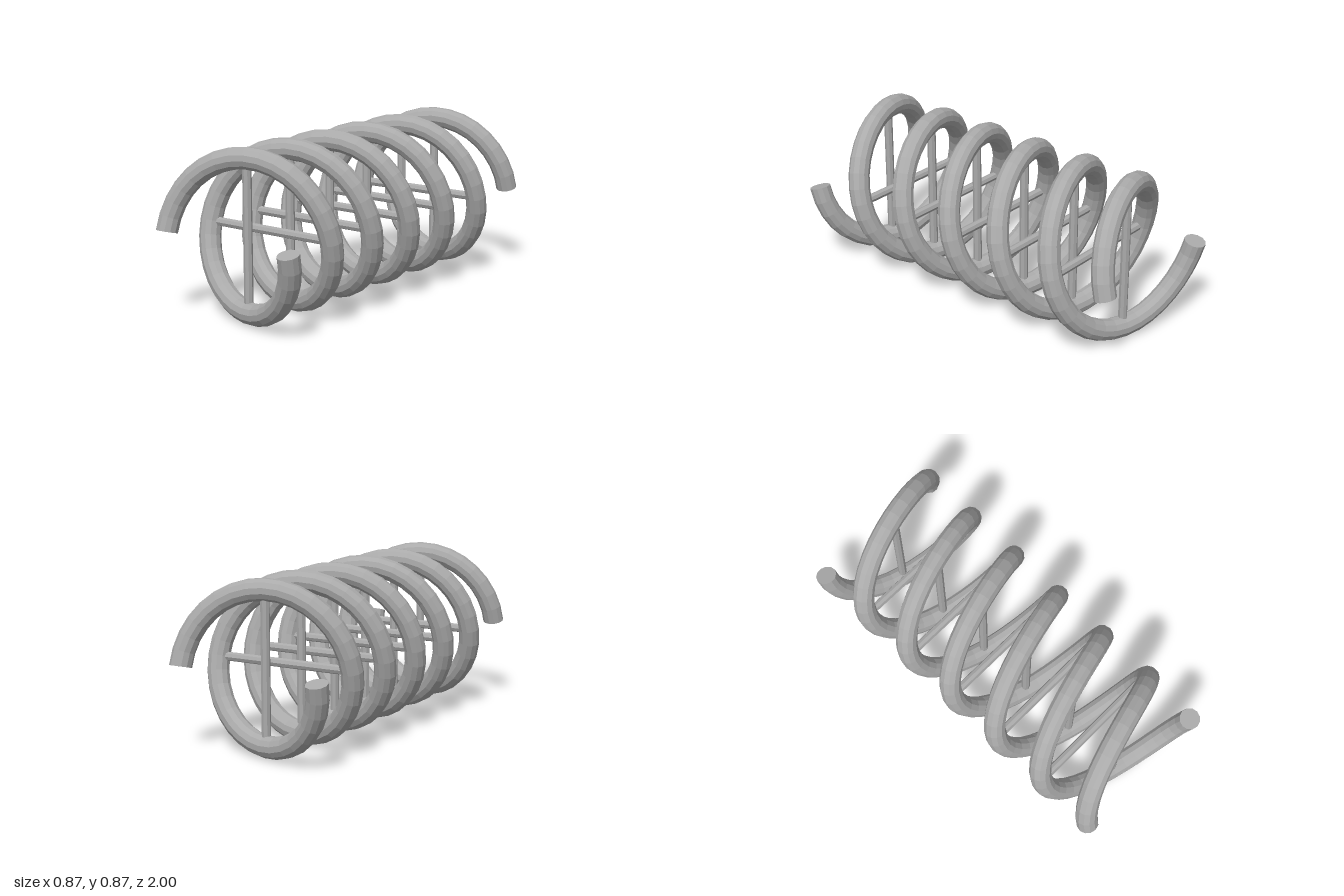
import * as THREE from 'three';

const R = 0.378, TUBE = 0.055, HALF = 0.947, TURNS = 3, AXIS_Y = 0.436, SIDES = 12, SEGMENTS = 96;

// Helix running from the front (+z) to the back; side -1 gives the opposite strand
class Helix extends THREE.Curve {
  constructor(side) {
    super();
    this.side = side;
  }
  getPoint(t, target = new THREE.Vector3()) {
    const a = t * TURNS * Math.PI * 2;
    return target.set(-this.side * R * Math.cos(a), this.side * R * Math.sin(a), HALF * (1 - 2 * t));
  }
}

export function createModel() {
  const model = new THREE.Group();
  model.name = 'doubleHelix';
  const grey = new THREE.MeshStandardMaterial({ color: 0xaaaaaa, flatShading: true });
  grey.name = 'grey';

  const add = (parent, geometry, name) => {
    const mesh = new THREE.Mesh(geometry, grey);
    mesh.name = name;
    parent.add(mesh);
    return mesh;
  };

  // Two coiled strands with flat end caps
  for (const side of [1, -1]) {
    const strand = new THREE.Group();
    strand.name = side > 0 ? 'firstStrand' : 'secondStrand';
    const curve = new Helix(side);
    const tube = new THREE.TubeGeometry(curve, SEGMENTS, TUBE, SIDES, false);
    add(strand, tube, 'strandTube');
    for (const end of [0, 1]) {
      const i = end * SEGMENTS, dir = end ? 1 : -1;
      const cap = new THREE.CircleGeometry(TUBE, SIDES);
      cap.applyMatrix4(new THREE.Matrix4().makeBasis(
        tube.normals[i].clone(),
        tube.binormals[i].clone().multiplyScalar(dir),
        tube.tangents[i].clone().multiplyScalar(dir)
      ).setPosition(curve.getPointAt(end)));
      add(strand, cap, end ? 'backCap' : 'frontCap');
    }
    model.add(strand);
  }

  // Rungs joining the strands at every quarter turn, alternately upright and level
  const rungGeometry = new THREE.CylinderGeometry(0.0225, 0.0225, R * 2, 8);
  const quarters = TURNS * 4;
  for (let i = 1; i < quarters; i++) {
    const upright = i % 2 === 1;
    const rung = add(model, rungGeometry, upright ? 'uprightRung' : 'levelRung');
    rung.position.z = HALF * (1 - 2 * i / quarters);
    if (!upright) rung.rotation.z = Math.PI / 2;
  }

  // Lift the coil so that it rests on the ground
  model.children.forEach((part) => { part.position.y = AXIS_Y; });
  return model;
}
